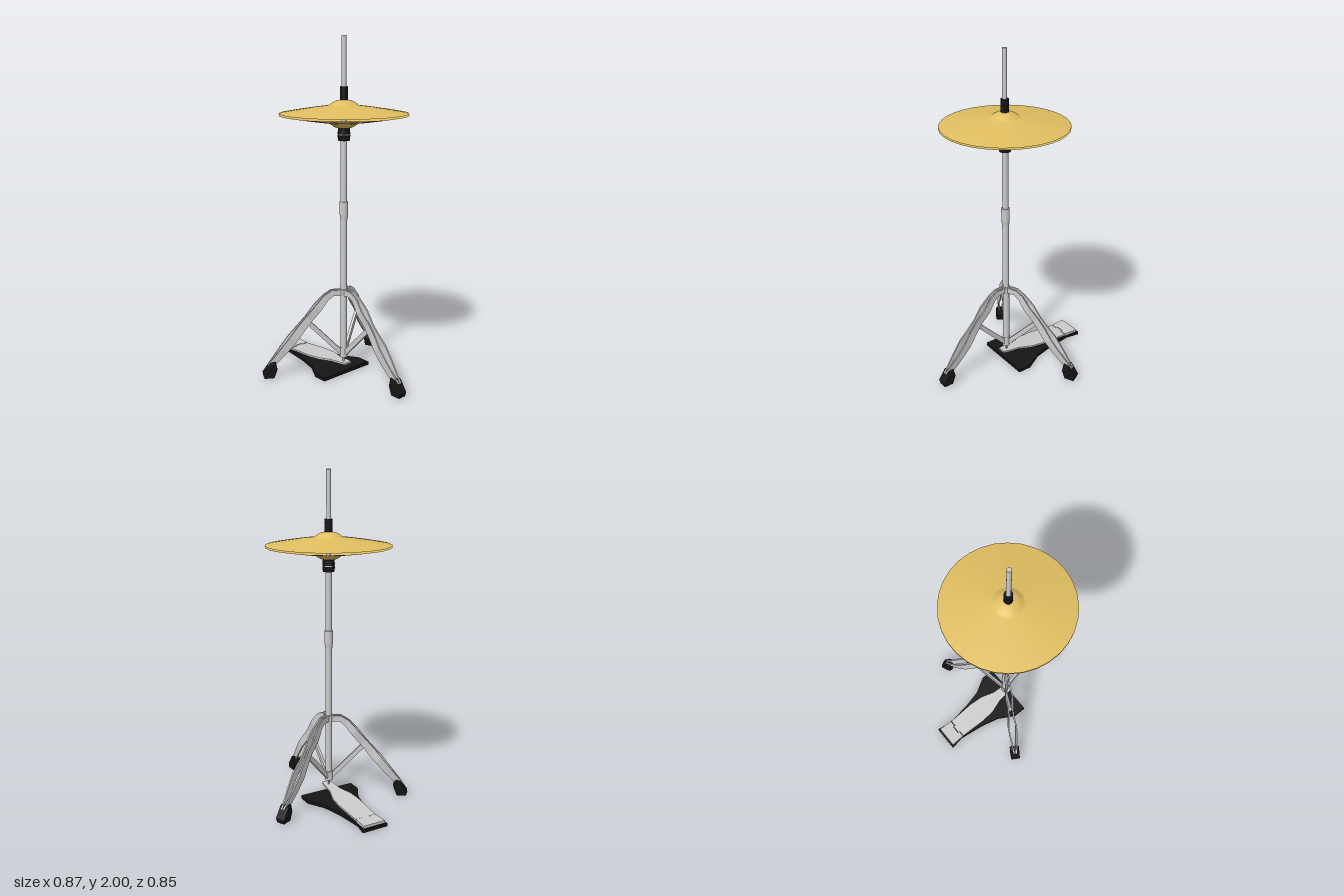
import * as THREE from 'three';

const mat = (color, side = THREE.FrontSide, flatShading = false) =>
  new THREE.MeshStandardMaterial({ color, side, flatShading });
const metal = mat(0xcccccc), flatMetal = mat(0xcccccc, THREE.FrontSide, true);
const black = mat(0x151515), bronze = mat(0xe0be60, THREE.DoubleSide);

function add(parent, name, geometry, material) {
  const mesh = new THREE.Mesh(geometry, material);
  mesh.name = name;
  parent.add(mesh);
  return mesh;
}

// Upright round part between two heights
function tube(parent, name, r, y0, y1, material = metal, sides = 16, rTop = r) {
  const m = add(parent, name, new THREE.CylinderGeometry(rTop, r, y1 - y0, sides), material);
  m.position.y = (y0 + y1) / 2;
}

// Flat bar lofted through [x, y, z, height, thickness] sections
function bar(sections) {
  const pos = [], idx = [], n = sections.length;
  sections.forEach(([x, y, z, h, t], i) => {
    const a = sections[Math.max(i - 1, 0)], b = sections[Math.min(i + 1, n - 1)];
    const len = Math.hypot(b[0] - a[0], b[1] - a[1]);
    const nx = -(b[1] - a[1]) / len * h / 2, ny = (b[0] - a[0]) / len * h / 2;
    for (const [u, v] of [[1, 1], [1, -1], [-1, -1], [-1, 1]])
      pos.push(x + u * nx, y + u * ny, z + v * t / 2);
  });
  for (let i = 0; i < n - 1; i++) {
    for (let k = 0; k < 4; k++) {
      const a = i * 4 + k, b = i * 4 + (k + 1) % 4;
      idx.push(a, a + 4, b, b, a + 4, b + 4);
    }
  }
  const e = (n - 1) * 4;
  idx.push(0, 1, 2, 0, 2, 3, e, e + 2, e + 1, e, e + 3, e + 2);
  const g = new THREE.BufferGeometry();
  g.setAttribute('position', new THREE.Float32BufferAttribute(pos, 3));
  g.setIndex(idx);
  const flat = g.toNonIndexed();
  flat.computeVertexNormals();
  return flat;
}

// Horizontal plate, mirrored across its length, from [distance, halfWidth] points
function plate(outline, depth) {
  const pts = [...outline.map(([x, w]) => [x, -w]), ...outline.map(([x, w]) => [x, w]).reverse()];
  const shape = new THREE.Shape(pts.map(([x, y]) => new THREE.Vector2(x, y)));
  return new THREE.ExtrudeGeometry(shape, { depth, bevelEnabled: false }).rotateX(-Math.PI / 2);
}

function makeLeg(angle) {
  const leg = new THREE.Group();
  leg.name = 'leg';
  leg.rotation.y = -angle * Math.PI / 180;
  // twin strips that bow apart, meet at the brace and bow again
  for (const s of [-1, 1]) {
    const strip = [
      [0.01, 0.51, 0.012, 0.036], [0.07, 0.509, 0.012, 0.036], [0.11, 0.482, 0.013, 0.04],
      [0.16, 0.422, 0.022, 0.046], [0.215, 0.355, 0.013, 0.046], [0.26, 0.3, 0.016, 0.05],
      [0.31, 0.24, 0.026, 0.05], [0.365, 0.172, 0.021, 0.046], [0.452, 0.07, 0.007, 0.034],
    ].map(([x, y, z, h]) => [x, y, s * z, h, 0.009]);
    add(leg, 'legStrip', bar(strip), flatMetal);
  }
  add(leg, 'brace', bar([[0.22, 0.338, 0, 0.028, 0.016], [0.015, 0.125, 0, 0.028, 0.016]]), flatMetal);
  // rubber foot, tilted in line with the leg
  const side = new THREE.Shape([[0.43, 0.01], [0.412, 0.058], [0.421, 0.098], [0.444, 0.092],
    [0.486, 0.03], [0.48, 0.01]].map(p => new THREE.Vector2(...p)));
  const foot = new THREE.ExtrudeGeometry(side, {
    depth: 0.046, bevelSize: 0.006, bevelThickness: 0.007, bevelSegments: 2,
  }).translate(0, 0, -0.023);
  add(leg, 'rubberFoot', foot, black);
  return leg;
}

function makePedal() {
  const pedal = new THREE.Group();
  pedal.name = 'pedal';
  pedal.rotation.y = 140.6 * Math.PI / 180;
  add(pedal, 'basePlate', plate([[-0.03, 0.18], [0.055, 0.18], [0.16, 0.12], [0.28, 0.09],
    [0.36, 0.079], [0.45, 0.068], [0.535, 0.083]], 0.02), black);
  // sloping footboard, narrow at the toe, notched where it meets the heel plate
  const board = add(pedal, 'footboard', plate([[-0.04, 0.025], [0, 0.032], [0.07, 0.036], [0.16, 0.066],
    [0.25, 0.074], [0.43, 0.067], [0.43, 0.025], [0.442, 0.025]], 0.011), metal);
  board.rotation.z = -0.08;
  board.position.y = 0.058;
  const heel = add(pedal, 'heelPlate', plate([[0.445, 0.025], [0.433, 0.025], [0.433, 0.067],
    [0.525, 0.072]], 0.016), metal);
  heel.position.y = 0.02;
  return pedal;
}

// Cymbal with a raised bell; dir -1 turns it upside down
function makeCymbal(name, parent, edgeY, dir) {
  const profile = [[0.37, 0], [0.28, 0.016], [0.18, 0.032], [0.09, 0.044], [0.08, 0.049],
    [0.065, 0.061], [0.045, 0.071], [0.022, 0.076], [0.008, 0.077]];
  const pts = profile.map(([r, y]) => new THREE.Vector2(r, dir * y));
  if (dir < 0) pts.reverse();
  const m = add(parent, name, new THREE.LatheGeometry(pts, 32), bronze);
  m.position.y = edgeY;
}

export function createModel() {
  const model = new THREE.Group();
  model.name = 'cymbalStand';
  const stand = new THREE.Group();
  stand.name = 'stand';
  stand.position.set(0.031, 0, 0.058);
  model.add(stand);

  // Column and rod
  tube(stand, 'pullRod', 0.0135, 1.4, 2);
  tube(stand, 'linkRod', 0.006, 0.06, 0.11, metal, 8);
  tube(stand, 'lowerTube', 0.02, 0.1, 1);
  tube(stand, 'upperTube', 0.0185, 1, 1.42);
  tube(stand, 'heightCollar', 0.025, 0.985, 1.06);
  tube(stand, 'heightCollarTaper', 0.021, 0.95, 0.985, metal, 16, 0.025);
  tube(stand, 'legCollar', 0.026, 0.49, 0.53);
  tube(stand, 'braceCollar', 0.024, 0.1, 0.16);

  // Cymbals with seat and clutch
  makeCymbal('upperCymbal', stand, 1.57, 1);
  makeCymbal('lowerCymbal', stand, 1.56, -1);
  tube(stand, 'seatBase', 0.034, 1.415, 1.446, black, 16, 0.037);
  tube(stand, 'seatNeck', 0.03, 1.446, 1.452, metal);
  tube(stand, 'seatCup', 0.037, 1.452, 1.485, black, 16, 0.034);
  tube(stand, 'clutch', 0.024, 1.64, 1.68, black, 12);
  tube(stand, 'clutchNeck', 0.022, 1.68, 1.684, black, 12);
  tube(stand, 'clutchNut', 0.024, 1.684, 1.72, black, 12);

  // Tripod and pedal
  for (const angle of [-75.5, 38.6, 160]) stand.add(makeLeg(angle));
  stand.add(makePedal());
  return model;
}
